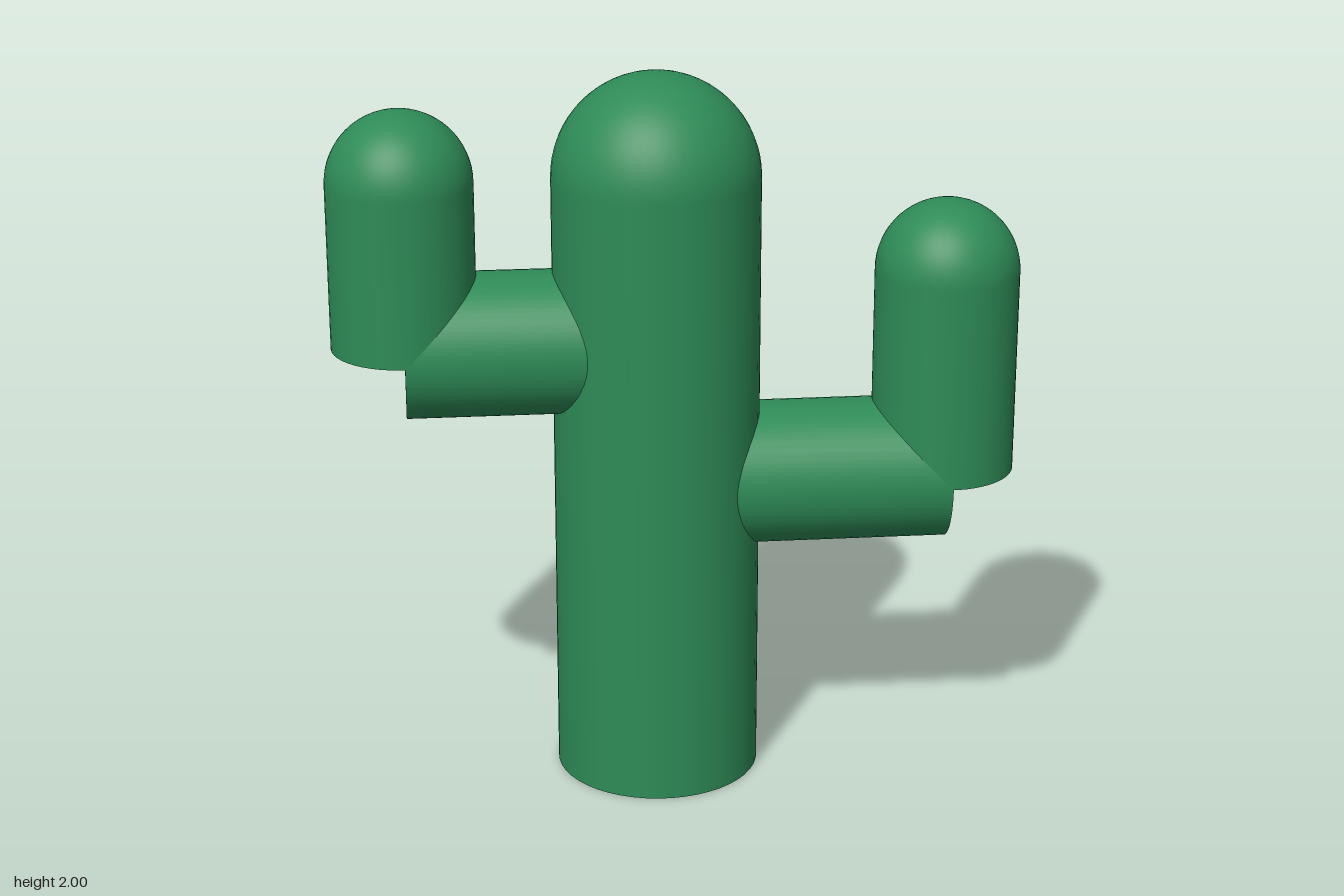
import * as THREE from 'three';

const green = new THREE.MeshStandardMaterial({ color: 0x2e8b57 });
const SEGMENTS = 48;

function addMesh(parent, geometry, name) {
  const mesh = new THREE.Mesh(geometry, green);
  mesh.name = name;
  parent.add(mesh);
  return mesh;
}

// Upright column with a flat base and a domed top
function column(name, x, z, radius, bottom, top) {
  const group = new THREE.Group();
  group.name = name;
  const height = top - radius - bottom;
  addMesh(group, new THREE.CylinderGeometry(radius, radius, height, SEGMENTS), name + 'Body')
    .position.y = bottom + height / 2;
  addMesh(group, new THREE.SphereGeometry(radius, SEGMENTS, 16, 0, Math.PI * 2, 0, Math.PI / 2), name + 'Dome')
    .position.y = bottom + height;
  group.position.set(x, 0, z);
  return group;
}

// Flat-ended horizontal branch between two points
function branch(name, from, to, radius) {
  const direction = to.clone().sub(from);
  const geometry = new THREE.CylinderGeometry(radius, radius, direction.length(), SEGMENTS);
  const mesh = new THREE.Mesh(geometry, green);
  mesh.name = name;
  mesh.position.copy(from).add(to).multiplyScalar(0.5);
  mesh.quaternion.setFromUnitVectors(new THREE.Vector3(0, 1, 0), direction.normalize());
  return mesh;
}

export function createModel() {
  const cactus = new THREE.Group();
  cactus.name = 'cactus';

  const trunkX = -0.057, trunkZ = 0.012, armRadius = 0.198;
  cactus.add(column('trunk', trunkX, trunkZ, 0.283, 0, 2));

  // Each arm: a branch out of the trunk ending at the foot of an upright
  const arms = [
    { side: 'left', x: 0.723, z: -0.154, y: 0.86, top: 1.63 },
    { side: 'right', x: -0.727, z: 0.154, y: 1.26, top: 1.915 },
  ];
  for (const { side, x, z, y, top } of arms) {
    const arm = new THREE.Group();
    arm.name = side + 'Arm';
    arm.add(branch(side + 'Branch',
      new THREE.Vector3(trunkX, y, trunkZ), new THREE.Vector3(x, y, z), armRadius));
    arm.add(column(side + 'Upright', x, z, armRadius, y, top));
    cactus.add(arm);
  }
  return cactus;
}
